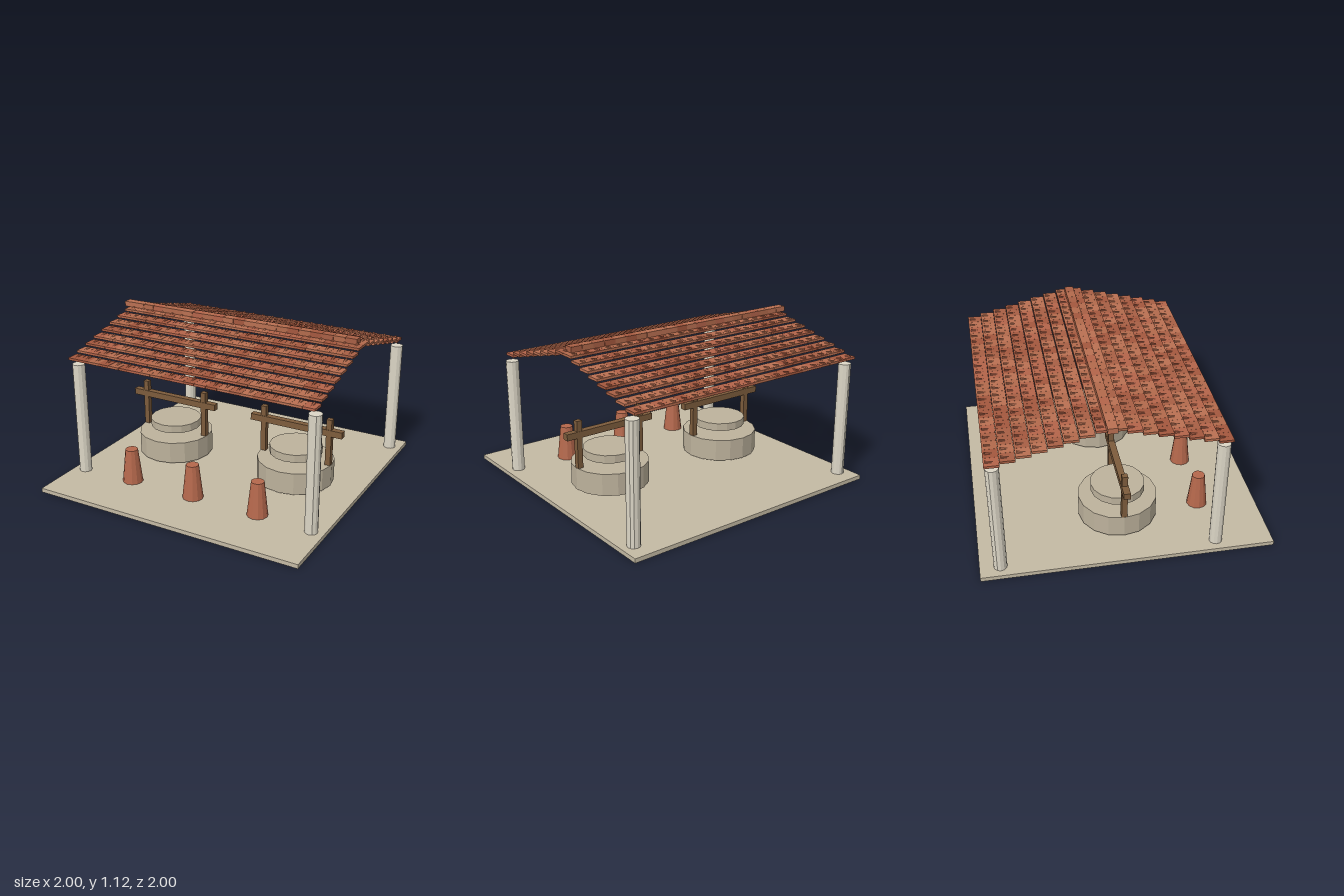
import * as THREE from 'three';
import { mergeGeometries } from 'three/addons/utils/BufferGeometryUtils.js';

const mat = (color) => new THREE.MeshStandardMaterial({ color, flatShading: true });
const paving = mat(0xc4baa4), pillarStone = mat(0xdcd6c6), millStone = mat(0xbdb29c);
const wood = mat(0x7d5c3c), clay = mat(0xb5684c);
const tileShades = [0xa85f44, 0xb26a4c, 0xba7052, 0xa4583e, 0xb4644a].map(mat);

function add(parent, name, geometry, material, x, y, z) {
  const mesh = new THREE.Mesh(geometry, material);
  mesh.name = name;
  mesh.position.set(x, y, z);
  parent.add(mesh);
  return mesh;
}

// Grinding mill: two stones, a pair of posts and a cross beam
function createMill() {
  const mill = new THREE.Group();
  mill.name = 'mill';
  add(mill, 'lowerStone', new THREE.CylinderGeometry(0.277, 0.277, 0.16, 16), millStone, 0, 0.13, 0);
  add(mill, 'upperStone', new THREE.CylinderGeometry(0.19, 0.19, 0.057, 16), millStone, 0, 0.282, 0);
  for (const side of [-1, 1]) {
    add(mill, 'millPost', new THREE.BoxGeometry(0.04, 0.36, 0.04), wood, side * 0.253, 0.376, 0);
  }
  add(mill, 'millBeam', new THREE.BoxGeometry(0.707, 0.047, 0.047), wood, 0, 0.457, 0);
  return mill;
}

// Stepped tiled roof, tiles gathered by shade
function createRoof() {
  const roof = new THREE.Group();
  roof.name = 'roof';
  const columns = 22, rows = 8, pitch = 0.0857, ridgeZ = -0.125;
  const shades = tileShades.map(() => []);
  let seed = 7;
  const pick = () => {
    seed = (seed * 16807) % 2147483647;
    return seed % shades.length;
  };
  for (const side of [-1, 1]) {
    for (let row = 0; row < rows; row++) {
      const y = 0.902 + row * 0.0253;
      const z = ridgeZ + side * (0.735 - row * 0.098);
      for (let col = 0; col < columns; col++) {
        const x = -0.916 + col * pitch;
        const tile = new THREE.BoxGeometry(pitch - 0.001, 0.017, 0.097).translate(x, y, z);
        // Small rounded rib running through each tile
        const rib = new THREE.CylinderGeometry(0.011, 0.011, 0.075, 8)
          .rotateX(Math.PI / 2 + 0.2)
          .translate(x, y + 0.002, z);
        shades[pick()].push(tile, rib);
      }
    }
  }
  shades.forEach((parts, i) => add(roof, 'roofTiles', mergeGeometries(parts), tileShades[i], 0, 0, 0));

  // Ridge caps
  for (let i = 0; i < columns; i++) {
    add(roof, 'ridgeCap', new THREE.BoxGeometry(pitch - 0.001, 0.038, 0.065),
      tileShades[pick()], -0.957 + i * pitch, 1.106, ridgeZ);
  }
  return roof;
}

export function createModel() {
  const model = new THREE.Group();
  model.name = 'millShelter';
  add(model, 'floor', new THREE.BoxGeometry(2, 0.03, 2), paving, 0, 0.015, 0);

  // Corner columns
  for (const x of [-0.91, 0.91]) {
    for (const z of [0.61, -0.86]) {
      add(model, 'column', new THREE.CylinderGeometry(0.045, 0.045, 0.83, 12), pillarStone, x, 0.445, z);
    }
  }

  for (const x of [-0.505, 0.505]) {
    const mill = createMill();
    mill.position.x = x;
    model.add(mill);
  }

  // Row of tapered clay jars at the front
  for (const x of [-0.505, 0, 0.505]) {
    add(model, 'jar', new THREE.CylinderGeometry(0.045, 0.073, 0.25, 12), clay, x, 0.155, 0.585);
  }

  model.add(createRoof());
  return model;
}
